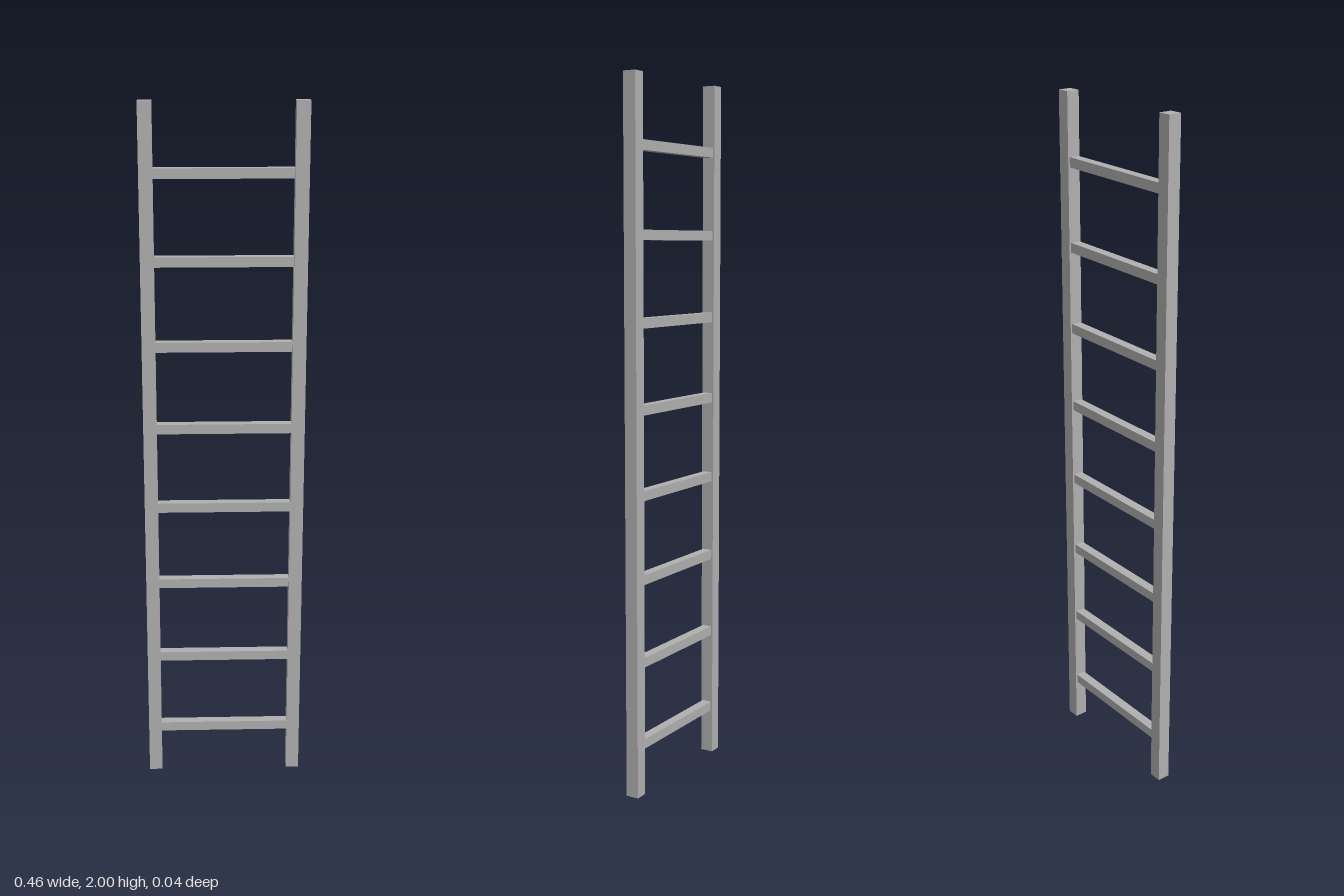
import * as THREE from 'three';

export function createModel() {
  const group = new THREE.Group();
  group.name = 'ladder';

  const metal = new THREE.MeshStandardMaterial({ color: 0xb0b0b0 });
  metal.name = 'light grey';

  const railSize = 0.038, railX = 0.21, height = 2;
  const rungSize = 0.028, rungCount = 8, firstRung = 0.145, rungStep = 0.238;

  function addBox(name, w, h, d, x, y) {
    const mesh = new THREE.Mesh(new THREE.BoxGeometry(w, h, d), metal);
    mesh.name = name;
    mesh.position.set(x, y, 0);
    group.add(mesh);
  }

  // Two square upright rails
  addBox('leftRail', railSize, height, railSize, railX, height / 2);
  addBox('rightRail', railSize, height, railSize, -railX, height / 2);

  // Evenly spaced square rungs, ending flush with the rails' inner faces
  const rungLength = 2 * railX - railSize;
  for (let i = 0; i < rungCount; i++) {
    addBox(`rung${i + 1}`, rungLength, rungSize, rungSize, 0, firstRung + i * rungStep);
  }

  return group;
}
